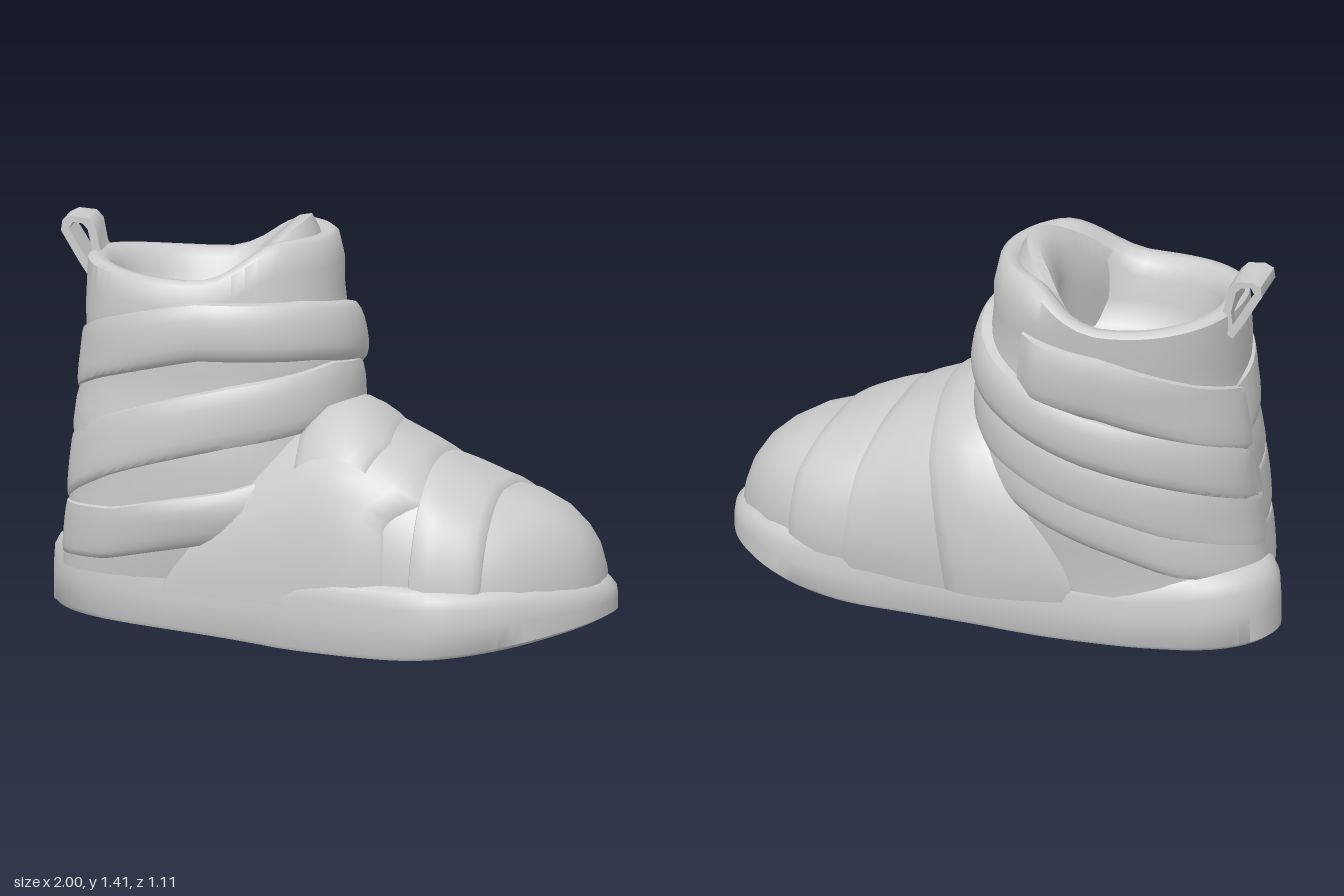
import * as THREE from 'three';
import { toCreasedNormals } from 'three/addons/utils/BufferGeometryUtils.js';

const { lerp, smoothstep } = THREE.MathUtils;
const PI = Math.PI;

// Piecewise linear lookup: rows are [key, value, value, ...]
function look(rows, k) {
  let i = 0;
  while (i < rows.length - 2 && k > rows[i + 1][0]) i++;
  const a = rows[i], b = rows[i + 1];
  const t = Math.min(1, Math.max(0, (k - a[0]) / (b[0] - a[0])));
  return a.slice(1).map((v, j) => lerp(v, b[j + 1], t));
}

// Skin a list of rings; closed rings wrap round
function loft(rings, closed) {
  const n = rings[0].length, idx = [];
  for (let r = 0; r < rings.length - 1; r++) {
    for (let i = 0; i < (closed ? n : n - 1); i++) {
      const j = (i + 1) % n, a = r * n + i, b = r * n + j;
      idx.push(a, b, b + n, a, b + n, a + n);
    }
  }
  const g = new THREE.BufferGeometry();
  g.setAttribute('position', new THREE.Float32BufferAttribute(rings.flat(2), 3));
  g.setIndex(idx);
  return toCreasedNormals(g, 0.85);
}

const steps = (n, a, b, f) => Array.from({ length: n }, (_, i) => f(lerp(a, b, i / (n - 1))));
const around = (n, f) => Array.from({ length: n }, (_, i) => f(i / n * 2 * PI));

// Shaft levels: y, back x, front x, inner z, outer z
const SHAFT = [
  [0.2, -0.95, 0.0, -0.43, 0.2], [0.45, -0.925, 0.08, -0.455, 0.25],
  [0.7, -0.905, 0.06, -0.475, 0.23], [0.95, -0.875, 0.05, -0.49, 0.22],
  [1.15, -0.87, 0.02, -0.515, 0.215], [1.27, -0.87, 0.01, -0.53, 0.2], [1.36, -0.86, -0.01, -0.5, 0.18],
];
// Point on the shaft: angle 0 is the front, +90 degrees the inner side
function shaft(a, y, off = 0, lift = 0) {
  const [x0, x1, z0, z1] = look(SHAFT, y);
  const c = Math.cos(a), s = Math.sin(a);
  const cx = Math.sign(c) * Math.abs(c) ** 0.92, sz = Math.sign(s) * Math.abs(s) ** 0.92;
  return [(x0 + x1) / 2 + ((x1 - x0) / 2 + off) * cx, y + lift, (z0 + z1) / 2 - ((z1 - z0) / 2 + off) * sz];
}
// Height of the opening: tall in front, dipped at the sides
function rim(a) {
  const c = Math.cos(a);
  return 1.22 + 0.13 * smoothstep(c, -0.05, 0.7) + (c < 0 ? 0.04 * c * c : 0);
}

// Foot sections: x, inner z, outer z, top y
const FOOT = [
  [-0.6, -0.4, 0.16, 0.48], [-0.3, -0.42, 0.28, 0.6], [0, -0.46, 0.39, 0.77],
  [0.12, -0.45, 0.44, 0.76], [0.27, -0.42, 0.48, 0.69], [0.41, -0.38, 0.51, 0.63],
  [0.6, -0.35, 0.48, 0.55], [0.72, -0.3, 0.42, 0.52], [0.82, -0.23, 0.34, 0.47],
  [0.89, -0.15, 0.27, 0.41], [0.93, -0.1, 0.21, 0.35], [0.955, -0.04, 0.15, 0.28], [0.965, 0.05, 0.06, 0.2],
];
// Point on the foot: angle runs from the outer side over the top; the inner side leans out
function foot(a, x, off = 0) {
  const [z0, z1, top] = look(FOOT, x);
  const c = Math.cos(a), s = Math.max(0, Math.sin(a));
  const lean = c < 0 ? 0.89 + 0.11 * Math.sqrt(s) : 1;
  const z = (z0 + z1) / 2 + ((z1 - z0) / 2 + off) * lean * Math.sign(c) * Math.abs(c) ** 0.8;
  return [x, 0.15 + (top - 0.15 + off) * s ** 0.8, z];
}

// Cross profile of a padded wrap: [fraction of width, fraction of thickness]
const PAD = [[0, -0.5], [0.04, 0.5], [0.14, 0.85], [0.27, 1], [0.42, 1.05], [0.58, 1.05],
  [0.74, 0.98], [0.88, 0.82], [0.97, 0.6], [1, -0.5]];

export function createModel() {
  const group = new THREE.Group();
  const grey = new THREE.MeshStandardMaterial({ color: 0xcccccc, side: THREE.DoubleSide });
  grey.name = 'light grey';
  const add = (name, geometry) => {
    const m = new THREE.Mesh(geometry, grey);
    m.name = name;
    group.add(m);
  };

  // Sole: curved outline with a lifted toe and heel
  const outline = new THREE.CatmullRomCurve3([
    [1, 0.07], [0.97, -0.08], [0.89, -0.19], [0.75, -0.29], [0.55, -0.34], [0.3, -0.34], [0, -0.37],
    [-0.3, -0.42], [-0.6, -0.44], [-0.83, -0.41], [-0.96, -0.32], [-1, -0.19], [-0.93, -0.04], [-0.79, 0.08],
    [-0.33, 0.27], [-0.07, 0.4], [0.2, 0.51], [0.44, 0.56], [0.62, 0.51], [0.78, 0.41], [0.94, 0.24],
  ].map(([x, z]) => new THREE.Vector3(x, 0, z)), true).getPoints(84).slice(0, 84);
  const low = x => x < 0 ? 0.04 * Math.max(0, (-x - 0.1) / 0.9) : 0.11 * Math.max(0, (x - 0.2) / 0.8) ** 2;
  const high = x => 0.2 + 0.06 * smoothstep(-x, 0.4, 1);
  const soleRing = ([s, h, lift]) => outline.map(p =>
    [p.x * s, lerp(low(p.x * s), high(p.x), h) + lift, 0.06 + (p.z - 0.06) * s]);
  add('sole', loft([[0, 0, 0], [0.5, 0, 0], [0.98, 0, 0], [1, 0.07, 0], [1, 0.55, 0], [0.995, 0.9, 0],
    [0.975, 1, 0.015], [0.95, 1, 0.035], [0.9, 1, 0.05], [0, 1, 0.05]].map(soleRing), true));

  // Foot and toe
  const footRings = FOOT.map(r => r[0]).reverse().map(x => steps(33, 0, PI, a => foot(a, x)));
  add('foot', loft(footRings, false));

  // Shaft: outer wall, rolled rim, lining and insole
  const wall = steps(14, 0, 1, t => around(56, a => {
    const y = lerp(0.2, rim(a), t);
    return shaft(a, y, 0.01 * Math.sin(y * 15 + a) * Math.sin(t * PI));
  }));
  const roll = [[-0.02, 0.015], [-0.05, 0.012], [-0.08, -0.015], [-0.1, -0.06]]
    .map(([off, lift]) => around(56, a => shaft(a, rim(a), off, lift)));
  const lining = [[1.08, -0.12], [0.99, -0.15], [0.95, -0.21]]
    .map(([y, off]) => around(56, a => shaft(a, y, off)));
  const floor = around(56, () => [-0.42, 0.93, -0.14]);
  add('shaft', loft([...wall, ...roll, ...lining, floor], true));

  // Padded tongue behind the front rim, leaning into the opening
  const tongueTop = a => 1.2 + 0.21 * Math.cos(a * 1.05) ** 0.9;
  const tongue = [[-0.5, -0.07, 1], [-0.15, -0.06, 1], [-0.04, -0.065, 1], [0.005, -0.09, 1],
    [0, -0.13, 1], [-0.06, -0.18, 1], [-0.17, -0.22, 1], [-0.4, -0.2, 1]];
  add('tongue', loft(tongue.map(([dy, off]) =>
    steps(27, -1.4, 1.4, a => {
      const thin = 1 - (a / 1.4) ** 4;
      return shaft(a, tongueTop(a) + dy, -0.07 + (off + 0.07) * thin);
    })), false));

  // Wraps round the shaft: the top edge as [angle, height] rows, then width and thickness
  const wraps = [
    ['upperWrap', [[-3.4, 0.97], [-2.5, 1.08], [-1.6, 1.17], [-0.7, 1.165], [0, 1.13], [0.8, 1.02], [1.6, 0.9], [3, 0.72]], 0.21, 0.05],
    ['wrapEnd', [[0.95, 1.18], [1.6, 1.14], [2.4, 1.02], [3.1, 0.94]], 0.25, 0.045],
    ['middleWrap', [[-3.2, 0.62], [-2.3, 0.76], [-1.4, 0.88], [-0.5, 0.95], [0.3, 0.92], [1, 0.82], [2, 0.65], [3.1, 0.52]], 0.22, 0.035],
    ['ankleWrap', [[-3.2, 0.42], [-2.2, 0.44], [-1.4, 0.52], [-0.5, 0.66], [0.3, 0.78], [1, 0.68], [2, 0.48], [3.1, 0.4]], 0.19, 0.03],
  ];
  for (const [name, edge, width, thick] of wraps) {
    const first = edge[0][0], last = edge[edge.length - 1][0];
    add(name, loft(PAD.map(([f, o]) => steps(61, first, last, a => {
      const fade = smoothstep(Math.min(a - first, last - a), -0.02, 0.25);
      const flat = 0.3 + 0.7 * smoothstep(Math.cos(a), -0.95, 0.1);
      return shaft(a, look(edge, a)[0] - width * (1 - f), thick * o * flat * (0.2 + 0.8 * fade));
    })), false));
  }

  // Wraps over the foot: front and back edge as [angle, x] rows, thickness, starting angle
  const overs = [
    ['toeWrap', [[0, 0.6], [1.4, 0.63], [2.4, 0.72], [PI, 0.74]], [[0, 0.34], [PI, 0.45]], 0.02, 0],
    ['vampWrap', [[0, 0.27], [0.5, 0.27], [0.8, 0.41], [1.6, 0.42], [2.4, 0.52], [PI, 0.56]],
      [[0, -0.58], [0.9, -0.4], [1.6, 0.05], [PI, 0.1]], 0.028, 0],
    ['instepWrap', [[0.8, 0.2], [1.2, 0.27], [1.6, 0.27], [2.4, 0.24], [PI, 0.15]],
      [[0.8, -0.1], [1.6, -0.08], [PI, -0.35]], 0.045, 0.8],
  ];
  for (const [name, front, back, thick, start] of overs) {
    add(name, loft(PAD.map(([f, o]) => steps(41, start, PI, a =>
      foot(a, lerp(look(front, a)[0], look(back, a)[0], f), thick * o))), false));
  }

  // Pull loop at the heel
  const pts = list => list.map(([x, y]) => new THREE.Vector2(x, y));
  const tab = new THREE.Shape(pts([[-0.86, 1.17], [-0.9, 1.23], [-0.965, 1.34], [-0.96, 1.375], [-0.93, 1.39],
    [-0.87, 1.385], [-0.845, 1.36], [-0.83, 1.28], [-0.79, 1.22]]));
  tab.holes.push(new THREE.Path(pts([[-0.86, 1.22], [-0.885, 1.26], [-0.938, 1.345], [-0.925, 1.37],
    [-0.89, 1.365], [-0.872, 1.345], [-0.855, 1.27]])));
  add('pullLoop', toCreasedNormals(
    new THREE.ExtrudeGeometry(tab, { depth: 0.17, bevelEnabled: false }).translate(0, 0, -0.3), 0.8));

  return group;
}
